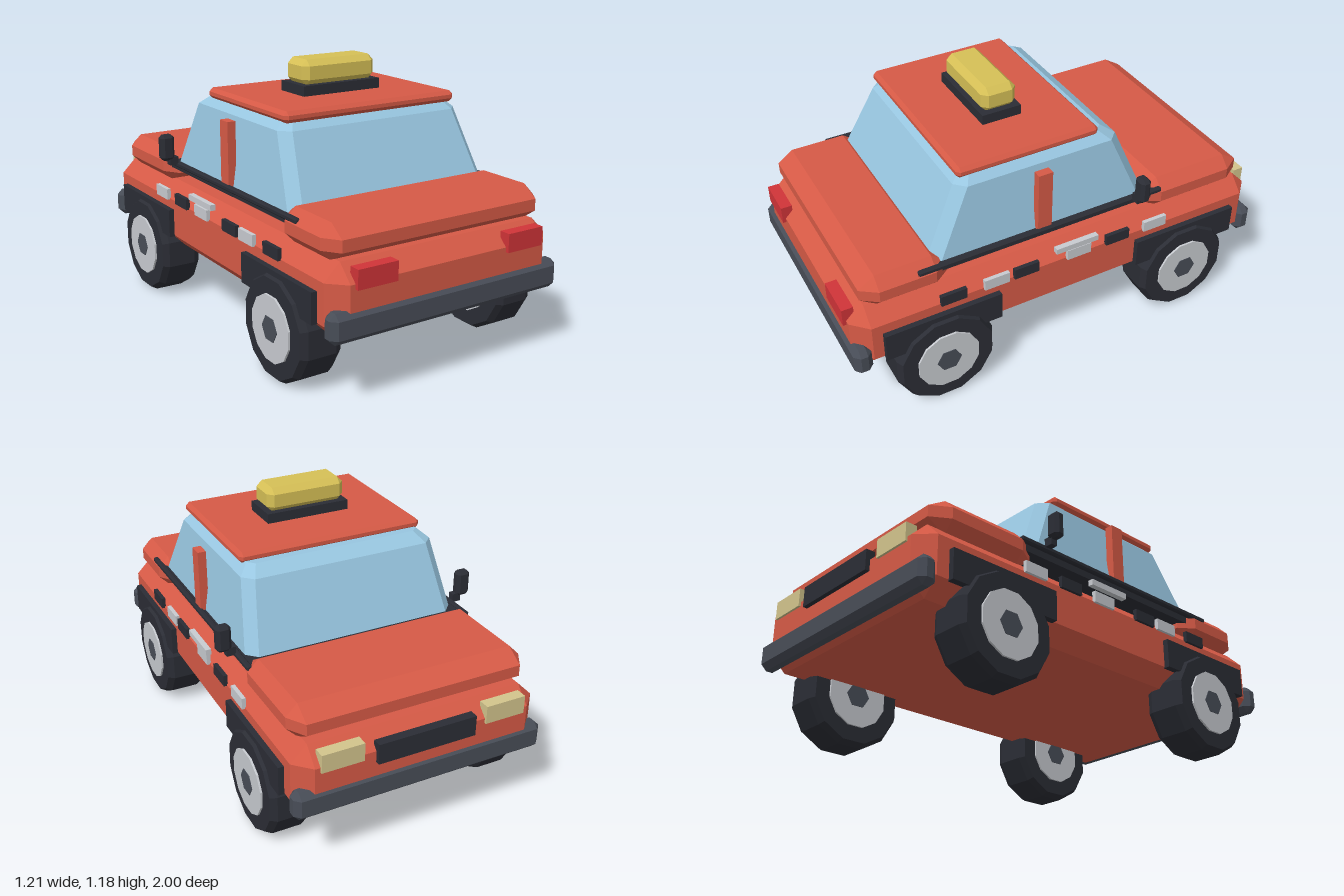
import * as THREE from 'three';
import { ConvexGeometry } from 'three/addons/geometries/ConvexGeometry.js';

const mat = (name, color) => {
  const m = new THREE.MeshStandardMaterial({ color, flatShading: true });
  m.name = name;
  return m;
};

export function createModel() {
  const red = mat('red paint', 0xd65a46);
  const glass = mat('blue glass', 0x98c6e0);
  const black = mat('black trim', 0x2b2d35);
  const slate = mat('slate grey', 0x484d57);
  const silver = mat('silver', 0xc8cbd0);
  const yellow = mat('yellow sign', 0xd6c056);
  const tail = mat('tail light red', 0xd03438);
  const lamp = mat('headlight cream', 0xd2c48c);

  const car = new THREE.Group();
  car.name = 'car';

  const add = (name, geometry, material, parent = car) => {
    const mesh = new THREE.Mesh(geometry, material);
    mesh.name = name;
    parent.add(mesh);
    return mesh;
  };

  // Box given by its limits on each axis
  const box = (name, material, [x0, x1], [y0, y1], [z0, z1]) => {
    const g = new THREE.BoxGeometry(x1 - x0, y1 - y0, z1 - z0);
    g.translate((x0 + x1) / 2, (y0 + y1) / 2, (z0 + z1) / 2);
    return add(name, g, material);
  };

  // Same, with all edges cut by cx, cy, cz
  const chamferBox = (name, material, [x0, x1], [y0, y1], [z0, z1], cx, cy = cx, cz = cx) => {
    const pts = [];
    for (const [x, dx] of [[x0, cx], [x1, -cx]])
      for (const [y, dy] of [[y0, cy], [y1, -cy]])
        for (const [z, dz] of [[z0, cz], [z1, -cz]])
          pts.push(
            new THREE.Vector3(x, y + dy, z + dz),
            new THREE.Vector3(x + dx, y, z + dz),
            new THREE.Vector3(x + dx, y + dy, z));
    return add(name, new ConvexGeometry(pts), material);
  };

  // Body, bonnet and boot
  chamferBox('body', red, [-0.55, 0.55], [0.26, 0.57], [-0.98, 0.985], 0.07);
  chamferBox('bonnet', red, [-0.53, 0.53], [0.555, 0.705], [-0.91, -0.39], 0.05, 0.05, 0.08);
  chamferBox('boot', red, [-0.53, 0.53], [0.555, 0.705], [0.545, 0.93], 0.05, 0.05, 0.07);

  // Cabin: sill slab, glasshouse from three cut-corner rings, roof
  box('cabinSill', black, [-0.505, 0.505], [0.63, 0.67], [-0.455, 0.61]);
  const rings = [
    // y, half width, z front, z back, corner cut
    [0.66, 0.495, -0.41, 0.625, 0.045],
    [0.96, 0.45, -0.285, 0.475, 0.045],
    [1.0, 0.405, -0.225, 0.43, 0.03],
  ];
  const glassPoints = [];
  for (const [y, w, z0, z1, c] of rings)
    for (const s of [-1, 1])
      glassPoints.push(
        new THREE.Vector3(s * w, y, z0 + c), new THREE.Vector3(s * (w - c), y, z0),
        new THREE.Vector3(s * w, y, z1 - c), new THREE.Vector3(s * (w - c), y, z1));
  add('windows', new ConvexGeometry(glassPoints), glass);
  chamferBox('roof', red, [-0.43, 0.43], [0.988, 1.036], [-0.19, 0.463], 0.016);

  // Roof sign
  box('signBase', black, [-0.195, 0.195], [1.034, 1.08], [0.05, 0.23]);
  chamferBox('roofSign', yellow, [-0.185, 0.185], [1.075, 1.185], [0.06, 0.22], 0.026);

  // Bumpers, lights and grille
  chamferBox('rearBumper', slate, [-0.565, 0.565], [0.275, 0.4], [0.92, 1.0], 0.025);
  chamferBox('frontBumper', slate, [-0.565, 0.565], [0.275, 0.4], [-0.99, -0.91], 0.025);
  box('grille', black, [-0.22, 0.22], [0.45, 0.54], [-1.0, -0.96]);

  // Wheel: tyre with cut shoulders, rim and hub showing on both faces
  const tyre = new THREE.LatheGeometry([
    [0, -0.093], [0.211, -0.093], [0.2277, -0.064],
    [0.2277, 0.064], [0.211, 0.093], [0, 0.093],
  ].map(([r, h]) => new THREE.Vector2(r, h)), 12, Math.PI / 12);
  const rim = new THREE.CylinderGeometry(0.142, 0.142, 0.204, 12);
  rim.rotateY(Math.PI / 12);
  const hub = new THREE.CylinderGeometry(0.056, 0.056, 0.21, 6);

  for (const s of [-1, 1]) {
    const side = s > 0 ? 'left' : 'right';
    const span = (a, b) => (s > 0 ? [a, b] : [-b, -a]);

    box(side + 'TailLight', tail, span(0.275, 0.458), [0.48, 0.56], [0.95, 1.0]);
    box(side + 'Headlight', lamp, span(0.275, 0.458), [0.48, 0.56], [-0.99, -0.94]);

    // Belt trim, door pillar and handle
    chamferBox(side + 'BeltTrim', black, span(0.505, 0.53), [0.656, 0.68], [-0.47, 0.69], 0.006);
    box(side + 'Pillar', red, span(0.478, 0.516), [0.67, 0.95], [0.08, 0.145]);
    box(side + 'DoorHandle', silver, span(0.55, 0.575), [0.56, 0.586], [-0.12, 0.085]);

    // Chequered strip
    [0.557, 0.36, 0.22, -0.035, -0.23, -0.425].forEach((z, i) =>
      box(side + 'Check' + (i + 1), i % 2 ? silver : black,
        span(0.545, 0.563), [0.495, 0.545], [z - 0.058, z + 0.058]));

    // Wing mirror
    box(side + 'MirrorStalk', black, span(0.525, 0.565), [0.67, 0.708], [-0.345, -0.315]);
    chamferBox(side + 'Mirror', black, span(0.542, 0.607), [0.695, 0.813], [-0.355, -0.305], 0.014);

    // Wheels and arches
    for (const [end, z] of [['Front', -0.593], ['Rear', 0.608]]) {
      box(side + end + 'Arch', black, span(0.5, 0.575), [0.325, 0.455], [z - 0.262, z + 0.262]);
      const wheel = new THREE.Group();
      wheel.name = side + end + 'Wheel';
      add('tyre', tyre, black, wheel);
      add('rim', rim, silver, wheel);
      add('hub', hub, slate, wheel);
      wheel.rotation.z = Math.PI / 2;
      // Turn the hub so that its corners point fore and aft
      wheel.position.set(s * 0.496, 0.22, z);
      car.add(wheel);
    }
  }
  return car;
}
